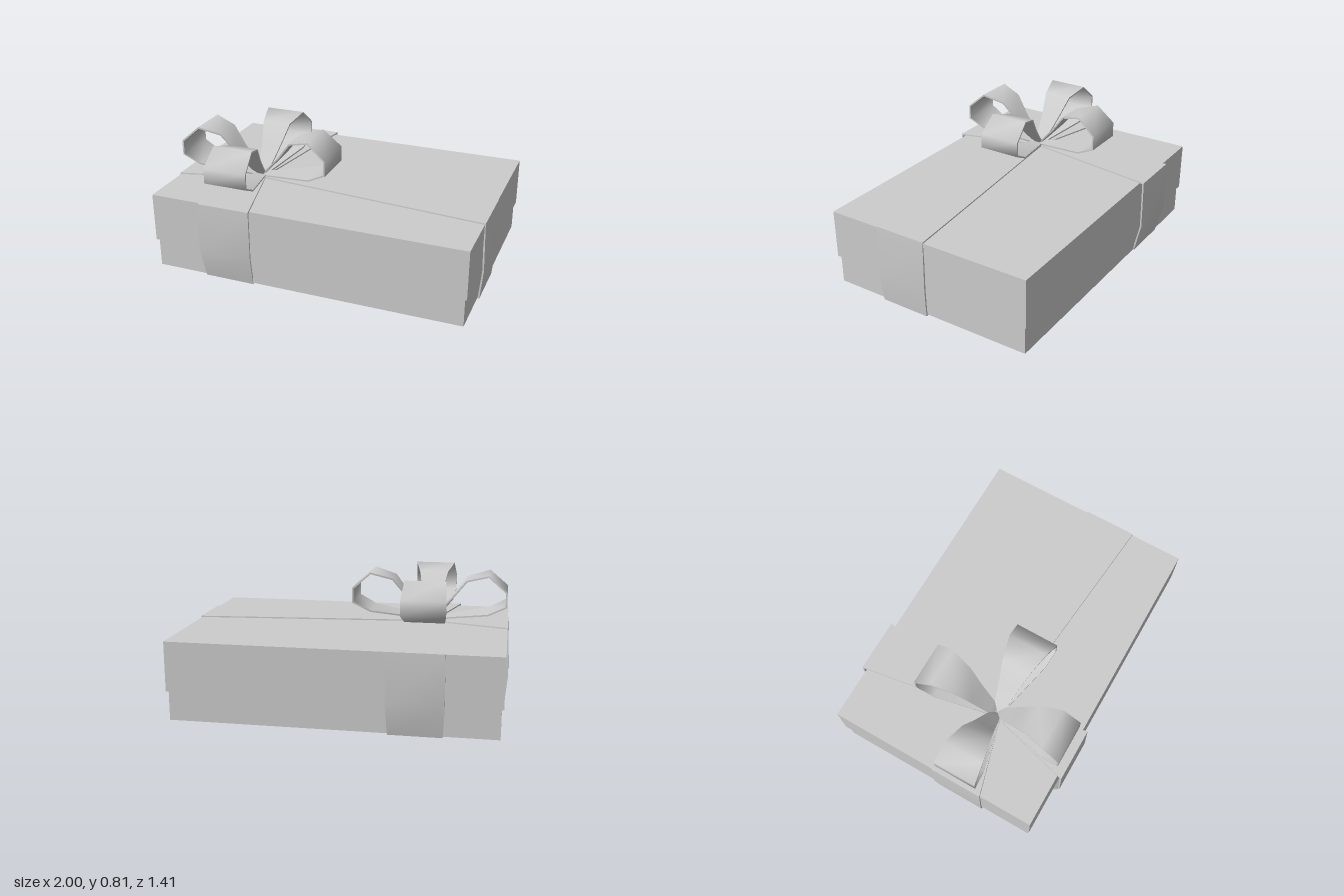
import * as THREE from 'three';
import { toCreasedNormals } from 'three/addons/utils/BufferGeometryUtils.js';

const material = new THREE.MeshStandardMaterial({ color: 0xcccccc });
const CENTER = { x: -0.49, z: 0.167 }; // where the ribbons cross

// Band of ribbon along a clockwise path of [distance out, height, half width], thickened inwards
function ribbonGeometry(path, thickness) {
  const pts = path.map(([u, y]) => new THREE.Vector2(u, y));
  const right = (a, b) => {
    const d = b.clone().sub(a).normalize();
    return new THREE.Vector2(d.y, -d.x);
  };
  const rings = path.map(([u, y, h], i) => {
    const n0 = right(pts[Math.max(i - 1, 0)], pts[Math.max(i, 1)]);
    const last = pts.length - 1;
    const n1 = right(pts[Math.min(i, last - 1)], pts[Math.min(i + 1, last)]);
    const n = n0.clone().add(n1).normalize();
    n.multiplyScalar(thickness / Math.max(n.dot(n0), 0.5));
    return [[u, y, -h], [u, y, h], [u + n.x, y + n.y, h], [u + n.x, y + n.y, -h]];
  });
  const position = [];
  for (let i = 0; i < rings.length - 1; i++) {
    for (let k = 0; k < 4; k++) {
      const a = rings[i][k], b = rings[i][(k + 1) % 4];
      const c = rings[i + 1][(k + 1) % 4], d = rings[i + 1][k];
      position.push(...a, ...b, ...c, ...a, ...c, ...d);
    }
  }
  const geometry = new THREE.BufferGeometry();
  geometry.setAttribute('position', new THREE.Float32BufferAttribute(position, 3));
  return toCreasedNormals(geometry, 1.2);
}

function addMesh(parent, name, geometry) {
  const mesh = new THREE.Mesh(geometry, material);
  mesh.name = name;
  parent.add(mesh);
  return mesh;
}

export function createModel() {
  const model = new THREE.Group();
  model.name = 'giftBox';

  // Box and its slightly wider lid
  addMesh(model, 'boxBase', new THREE.BoxGeometry(1.94, 0.2, 1.316)).position.y = 0.108;
  addMesh(model, 'lid', new THREE.BoxGeometry(1.966, 0.303, 1.342)).position.y = 0.3385;

  // Four ribbon arms: over the lid, down the side and back under the box
  const ribbon = new THREE.Group();
  ribbon.name = 'ribbon';
  const bow = new THREE.Group();
  bow.name = 'bow';
  for (const group of [ribbon, bow]) {
    group.position.set(CENTER.x, 0, CENTER.z);
    model.add(group);
  }

  const alongX = [0.988, 0.998, 0.98], alongZ = [0.7, 0.705, 0.66];
  const arms = [
    { side: 'Left', angle: 0, reach: alongX, shift: -CENTER.x },
    { side: 'Back', angle: Math.PI / 2, reach: alongZ, shift: CENTER.z },
    { side: 'Right', angle: Math.PI, reach: alongX, shift: CENTER.x },
    { side: 'Front', angle: -Math.PI / 2, reach: alongZ, shift: -CENTER.z },
  ];

  // Bow loop, widening away from the knot
  const loop = ribbonGeometry([
    [0, 0.502, 0.004], [0.04, 0.546, 0.04], [0.14, 0.655, 0.065], [0.23, 0.77, 0.092],
    [0.37, 0.81, 0.125], [0.485, 0.71, 0.136], [0.485, 0.615, 0.136],
    [0.37, 0.557, 0.122], [0.04, 0.506, 0.04], [0, 0.5, 0.004],
  ], 0.01);

  for (const { side, angle, reach, shift } of arms) {
    const [top, middle, bottom] = reach.map((r) => r + shift);
    const band = ribbonGeometry([
      [0, 0.498, 0.028], [top, 0.498, 0.166], [middle, 0.19, 0.168],
      [bottom, 0, 0.158], [0, 0, 0.158],
    ], 0.01);
    addMesh(ribbon, 'ribbon' + side, band).rotation.y = angle;
    addMesh(bow, 'bowLoop' + side, loop).rotation.y = angle;
  }
  return model;
}
